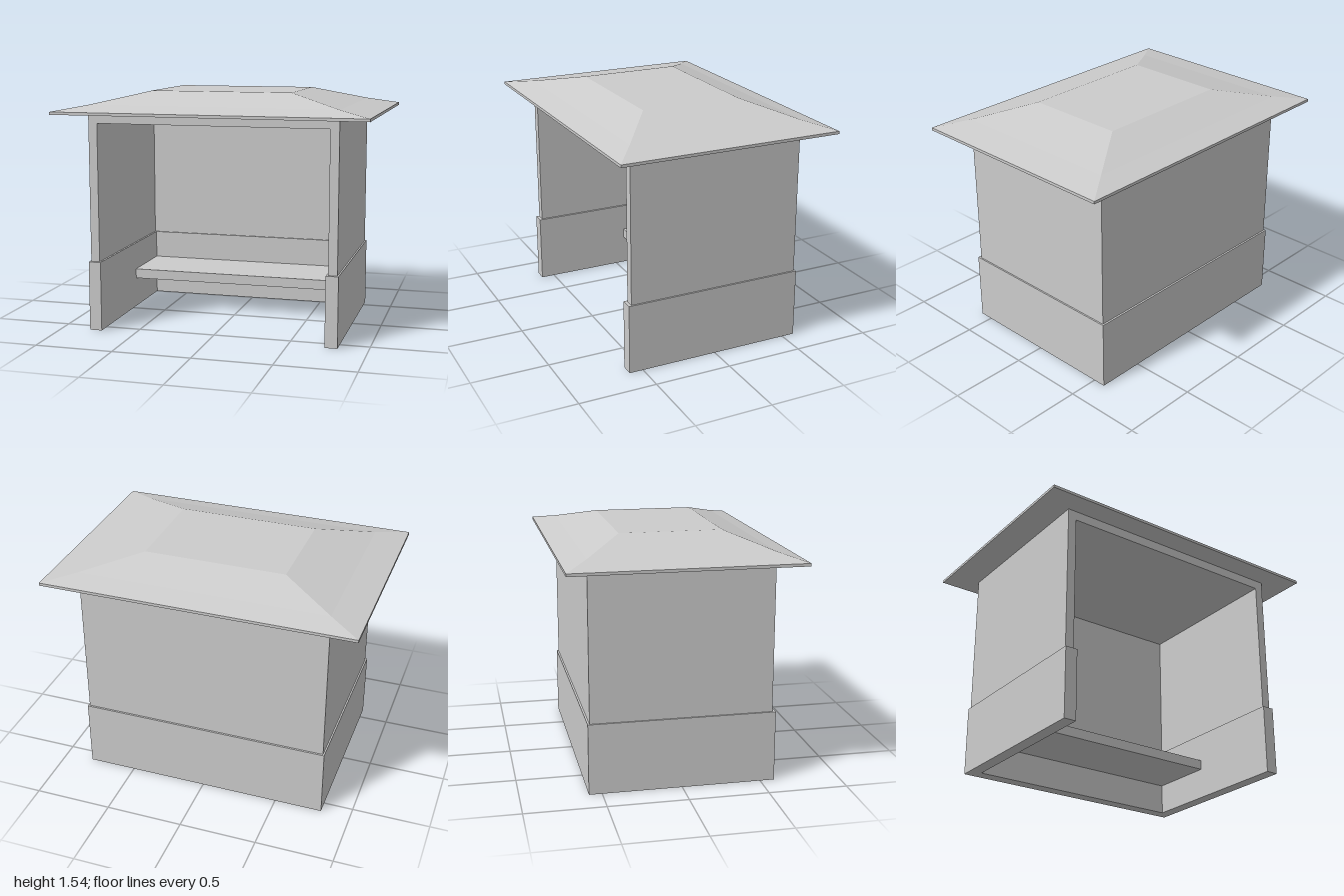
import * as THREE from 'three';

const material = new THREE.MeshStandardMaterial({ color: 0xcccccc, flatShading: true });

function addPart(group, name, geometry, x = 0, y = 0, z = 0) {
  const mesh = new THREE.Mesh(geometry, material);
  mesh.name = name;
  mesh.position.set(x, y, z);
  group.add(mesh);
}

// Three-sided wall, open towards +z, as an extruded U-shaped plan
function wallGeometry(outerX, innerX, front, innerBack, back, height) {
  const plan = [
    [-outerX, front], [-innerX, front], [-innerX, innerBack], [innerX, innerBack],
    [innerX, front], [outerX, front], [outerX, back], [-outerX, back],
  ];
  const shape = new THREE.Shape(plan.map(([x, z]) => new THREE.Vector2(x, -z)));
  const geometry = new THREE.ExtrudeGeometry(shape, { depth: height, bevelEnabled: false });
  return geometry.rotateX(-Math.PI / 2);
}

// Closed solid lofted through rectangles given as [halfX, halfZ, y], bottom to top
function rectangleLoft(levels) {
  const positions = [];
  const rings = levels.map(([x, z, y]) => [[-x, y, z], [x, y, z], [x, y, -z], [-x, y, -z]]);
  const quad = (a, b, c, d) => positions.push(...a, ...b, ...c, ...a, ...c, ...d);
  for (let i = 0; i < rings.length - 1; i++) {
    for (let j = 0; j < 4; j++) {
      const k = (j + 1) % 4;
      quad(rings[i][j], rings[i][k], rings[i + 1][k], rings[i + 1][j]);
    }
  }
  quad(...rings[rings.length - 1]);
  quad(...rings[0].slice().reverse());
  const geometry = new THREE.BufferGeometry();
  geometry.setAttribute('position', new THREE.Float32BufferAttribute(positions, 3));
  geometry.computeVertexNormals();
  return geometry;
}

export function createModel() {
  const shelter = new THREE.Group();
  shelter.name = 'shelter';

  // Thick plinth wall with the slimmer wall standing on it
  addPart(shelter, 'lowerWall', wallGeometry(0.81, 0.73, 0.59, -0.5, -0.582, 0.45));
  addPart(shelter, 'upperWall', wallGeometry(0.8, 0.743, 0.57, -0.512, -0.57, 0.95), 0, 0.45, 0);

  // Ceiling between the walls
  addPart(shelter, 'ceiling', new THREE.BoxGeometry(1.486, 0.06, 1.082), 0, 1.37, 0.029);

  // Bench along the back wall
  addPart(shelter, 'bench', new THREE.BoxGeometry(1.46, 0.065, 0.44), 0, 0.2325, -0.28);

  // Hipped roof with a flared eave and a flat top
  addPart(shelter, 'roof', rectangleLoft([
    [1, 0.715, 1.4],
    [1, 0.715, 1.418],
    [0.8, 0.57, 1.455],
    [0.455, 0.325, 1.537],
  ]));

  return shelter;
}
